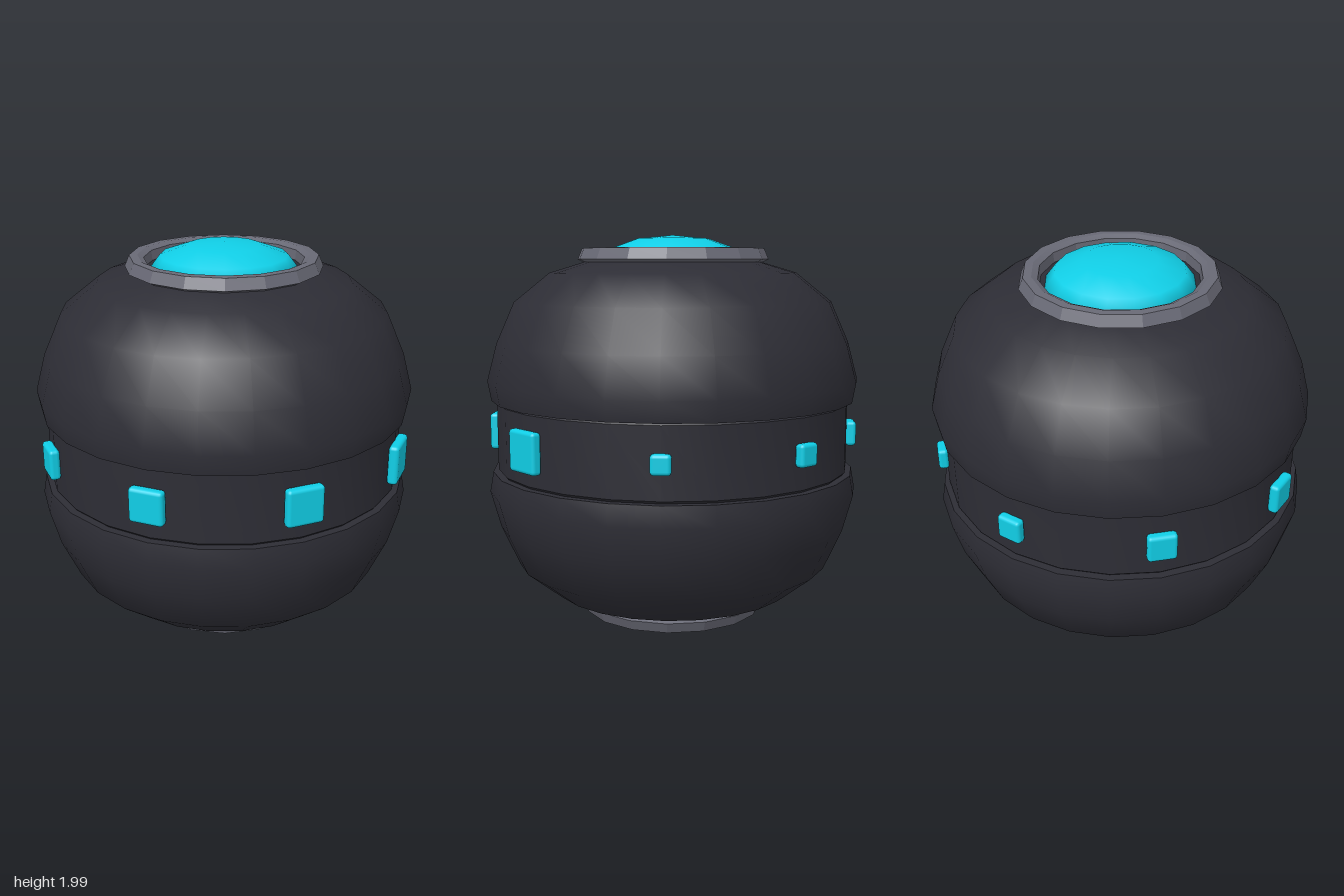
import * as THREE from 'three';
import { toCreasedNormals } from 'three/addons/utils/BufferGeometryUtils.js';
import { RoundedBoxGeometry } from 'three/addons/geometries/RoundedBoxGeometry.js';

const MID = 1.004; // height of the equator

const shell = new THREE.MeshStandardMaterial({ color: 0x2d2d35 });
shell.name = 'charcoal shell';
const trim = new THREE.MeshStandardMaterial({ color: 0x686975 });
trim.name = 'grey trim';
const glow = new THREE.MeshStandardMaterial({ color: 0x10cee6 });
glow.name = 'cyan light';

function part(name, geometry, material) {
  const mesh = new THREE.Mesh(geometry, material);
  mesh.name = name;
  return mesh;
}

// Turned part with sharp edges kept sharp
function turned(name, profile, sides, material, crease) {
  const points = profile.map(([r, y]) => new THREE.Vector2(r, y));
  return part(name, toCreasedNormals(new THREE.LatheGeometry(points, sides), crease), material);
}

// One hemisphere with its end ring and lens, measured from the equator
function createHalf(name) {
  const half = new THREE.Group();
  half.name = name;

  half.add(turned('shellHalf', [
    [0.8, 0.18], [0.922, 0.18], [0.94, 0.28], [0.89, 0.465],
    [0.8, 0.667], [0.622, 0.81], [0.43, 0.868], [0, 0.87],
  ], 24, shell, 0.8));

  half.add(turned('endRing', [
    [0.455, 0.862], [0.483, 0.876], [0.46, 0.93], [0.42, 0.932],
    [0.39, 0.918], [0.385, 0.862],
  ], 16, trim, 0.35));

  // Squashed dome lens
  const lens = part('lens', new THREE.SphereGeometry(0.36, 16, 3, 0, Math.PI * 2, 0, Math.PI / 2), glow);
  lens.scale.y = 0.128 / 0.36;
  lens.position.y = 0.868;
  half.add(lens);
  return half;
}

export function createModel() {
  const model = new THREE.Group();
  model.name = 'sphereDevice';

  const upper = createHalf('upperHalf');
  upper.position.y = MID;
  const lower = createHalf('lowerHalf');
  lower.position.y = MID;
  lower.rotation.x = Math.PI;
  model.add(upper, lower);

  // Recessed band around the equator
  const band = turned('equatorBand', [
    [0.88, -0.184], [0.895, -0.168], [0.895, 0.168], [0.88, 0.184],
  ], 24, shell, 0.6);
  band.position.y = MID;
  model.add(band);

  // Eight lights that shrink step by step around the band
  const lights = new THREE.Group();
  lights.name = 'bandLights';
  for (let i = 0; i < 8; i++) {
    const size = 0.2 - i * 0.015;
    const angle = Math.PI / 2 - i * Math.PI / 4;
    const light = part('bandLight' + (i + 1), new RoundedBoxGeometry(size, size, 0.052, 2, 0.018), glow);
    light.position.set(Math.sin(angle) * 0.912, MID, Math.cos(angle) * 0.912);
    light.rotation.y = angle;
    lights.add(light);
  }
  model.add(lights);

  return model;
}
